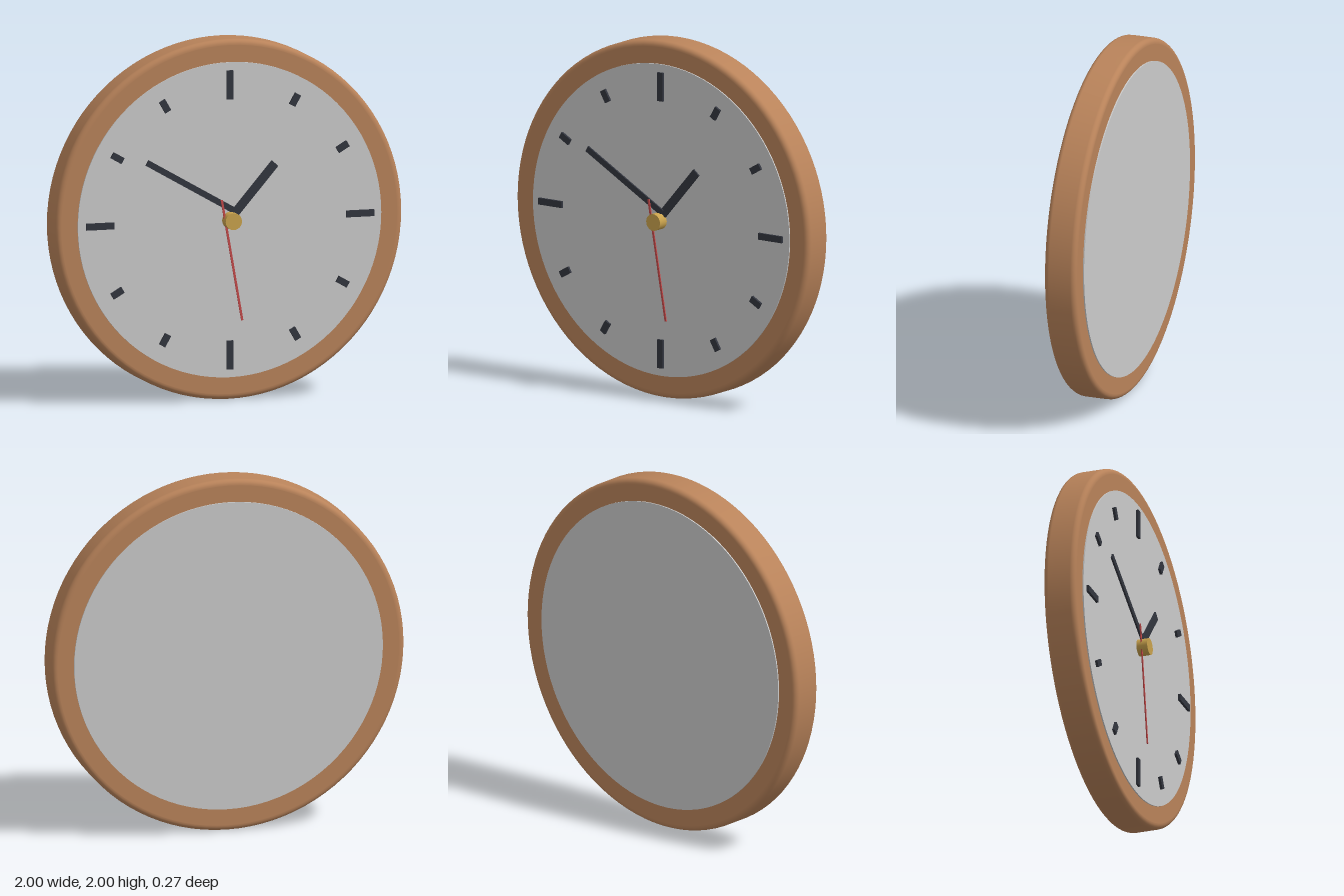
import * as THREE from 'three';

const material = (color) => new THREE.MeshStandardMaterial({ color });
const wood = material(0xb9835a);
const grey = material(0xcccccc);
const dark = material(0x33363f);
const red = material(0xc44a4a);
const gold = material(0xc9a24d);

function addMesh(parent, name, geometry, mat) {
  const mesh = new THREE.Mesh(geometry, mat);
  mesh.name = name;
  parent.add(mesh);
  return mesh;
}

// Disc whose axis points along z, spanning z0 to z1
function addDisc(parent, name, radius, z0, z1, sides, mat) {
  const geometry = new THREE.CylinderGeometry(radius, radius, z1 - z0, sides).rotateX(Math.PI / 2);
  addMesh(parent, name, geometry, mat).position.z = (z0 + z1) / 2;
}

// Flat bar from one point to another on the dial
function addBar(parent, name, [ax, ay], [bx, by], width, z0, z1, mat) {
  const dx = bx - ax, dy = by - ay;
  const bar = addMesh(parent, name, new THREE.BoxGeometry(width, Math.hypot(dx, dy), z1 - z0), mat);
  bar.position.set((ax + bx) / 2, (ay + by) / 2, (z0 + z1) / 2);
  bar.rotation.z = -Math.atan2(dx, dy);
}

// Rounded wooden ring turned from a closed profile
function rimGeometry(inner, outer, back, front, r) {
  const points = [[inner, back], [outer - r - 0.002, back]];
  for (const [z, start] of [[back + r, -Math.PI / 2], [front - r, 0]]) {
    for (let i = 0; i <= 6; i++) {
      const a = start + (i / 6) * Math.PI / 2;
      points.push([outer - r + r * Math.cos(a), z + r * Math.sin(a)]);
    }
  }
  points.push([outer - r - 0.002, front], [inner, front]);
  const profile = points.map(([x, y]) => new THREE.Vector2(x, y));
  return new THREE.LatheGeometry(profile, 96).rotateX(Math.PI / 2);
}

export function createModel() {
  const model = new THREE.Group();
  model.name = 'wallClock';
  const clock = new THREE.Group();
  clock.name = 'clockBody';
  clock.position.y = 1;
  model.add(clock);

  // Case: rim, dial and back plate
  addMesh(clock, 'rim', rimGeometry(0.85, 1, -0.13, 0.055, 0.03), wood);
  addDisc(clock, 'dial', 0.875, 0, 0.062, 96, grey);
  addDisc(clock, 'backPlate', 0.875, -0.137, 0, 96, grey);

  // Hour markers, longer at the quarters
  for (let i = 0; i < 12; i++) {
    const a = (i * Math.PI) / 6;
    const half = i % 3 === 0 ? 0.08 : 0.035;
    const at = (radius) => [Math.sin(a) * radius, Math.cos(a) * radius];
    addBar(clock, 'hourMarker', at(0.75 - half), at(0.75 + half), 0.037, 0.06, 0.076, dark);
  }

  // Hands
  addBar(clock, 'hourHand', [0.025, 0.04], [0.255, 0.305], 0.048, 0.077, 0.087, dark);
  addBar(clock, 'minuteHand', [0.025, 0.05], [-0.485, 0.343], 0.034, 0.084, 0.094, dark);
  addBar(clock, 'secondHand', [-0.058, 0.118], [0.06, -0.555], 0.012, 0.098, 0.104, red);

  // Centre cap over the pivot
  addDisc(clock, 'centreCap', 0.047, 0.074, 0.137, 32, gold);
  return model;
}
